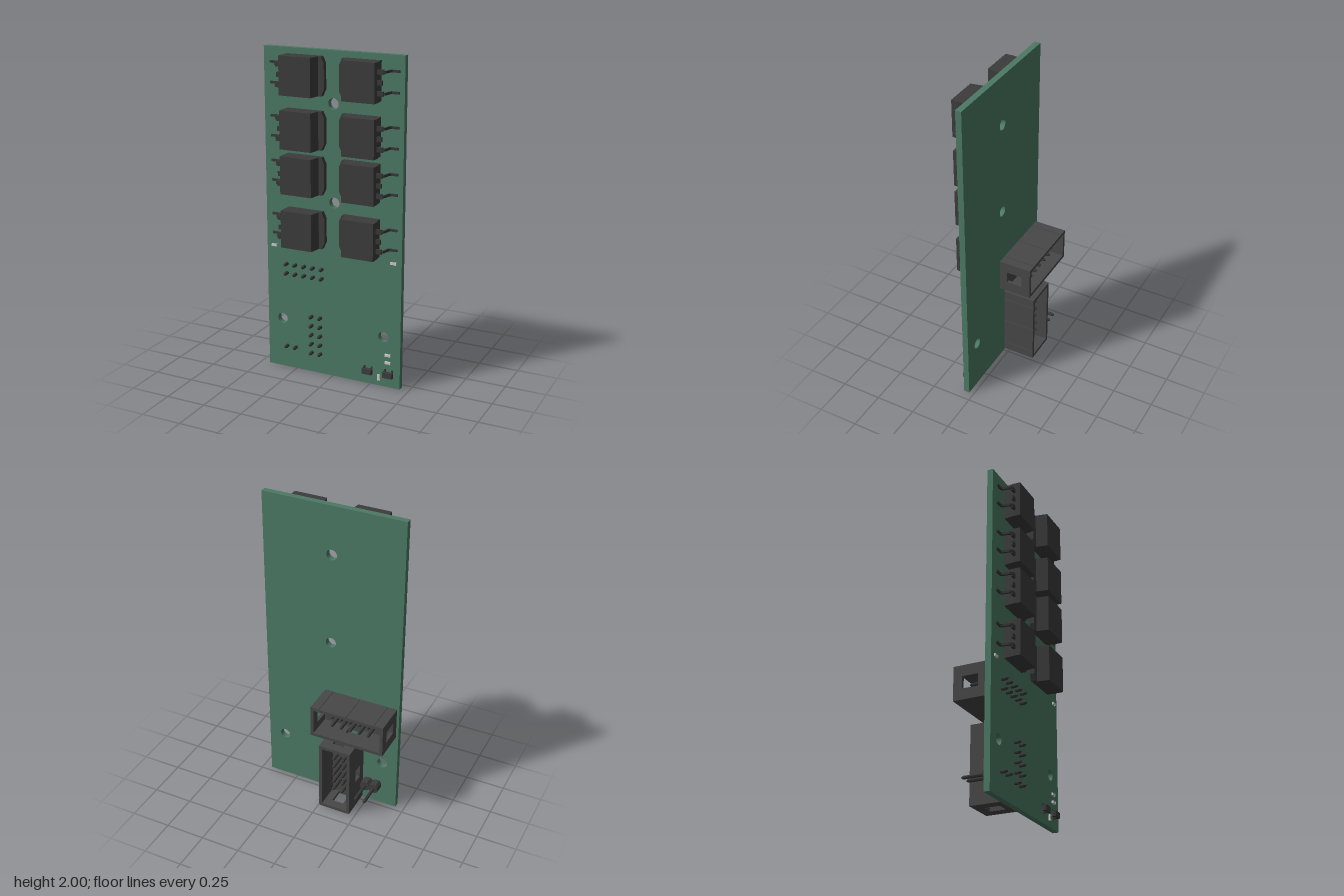
import * as THREE from 'three';

const mat = (color) => new THREE.MeshStandardMaterial({ color, flatShading: true });
const GREEN = mat(0x4c7a65), BLACK = mat(0x3c3c3c), PLASTIC = mat(0x484848), METAL = mat(0x383838);
const GREY = mat(0xcccccc);

function add(parent, name, geometry, material) {
  const m = new THREE.Mesh(geometry, material);
  m.name = name;
  parent.add(m);
  return m;
}

// Box given by its limits on each axis
function box(parent, name, material, [x0, x1], [y0, y1], [z0, z1]) {
  const g = new THREE.BoxGeometry(x1 - x0, y1 - y0, z1 - z0);
  g.translate((x0 + x1) / 2, (y0 + y1) / 2, (z0 + z1) / 2);
  return add(parent, name, g, material);
}

const shapeOf = (pts) => new THREE.Shape(pts.map(([x, y]) => new THREE.Vector2(x, y)));
const rect = (x0, x1, y0, y1) => [[x0, y0], [x1, y0], [x1, y1], [x0, y1]];

// Profile in (x, z) swept along y, centred on y = 0
function sweepY(shape, width) {
  const g = new THREE.ExtrudeGeometry(shape, { depth: width, bevelEnabled: false });
  return g.translate(0, 0, -width / 2).rotateX(Math.PI / 2);
}

function board(parent) {
  const shape = shapeOf(rect(-0.444, 0.443, 0, 2));
  for (const [x, y] of [[0.005, 1.695], [0.01, 1.107], [-0.345, 0.32], [0.333, 0.32]]) {
    shape.holes.push(new THREE.Path().absarc(x, y, 0.033, 0, Math.PI * 2, true));
  }
  const g = new THREE.ExtrudeGeometry(shape, { depth: 0.037, bevelEnabled: false, curveSegments: 20 });
  add(parent, 'circuitBoard', g.translate(0, 0, 0.03), GREEN);
}

// Power package: tab towards the middle, leads towards +x
function powerPackage() {
  const g = new THREE.Group();
  g.name = 'powerPackage';
  const profile = [[0.09, 0.069], [0.0845, 0.1], [0.097, 0.173], [0.299, 0.173], [0.3015, 0.13], [0.295, 0.069]];
  add(g, 'packageBody', sweepY(shapeOf(profile), 0.228), BLACK);

  const tab = shapeOf([[0.12, -0.114], [0.12, 0.114], [0.066, 0.114], [0.0475, 0.075], [0.0475, -0.075], [0.066, -0.114]]);
  const tabGeo = new THREE.ExtrudeGeometry(tab, { depth: 0.031, bevelEnabled: false });
  add(g, 'heatTab', tabGeo.translate(0, 0, 0.068), BLACK);

  // Gull-wing lead: upper edge out, lower edge back
  const lead = shapeOf([
    [0.29, 0.141], [0.334, 0.141], [0.346, 0.136], [0.352, 0.126], [0.358, 0.088], [0.364, 0.08], [0.407, 0.08],
    [0.407, 0.07], [0.36, 0.07], [0.35, 0.076], [0.346, 0.088], [0.341, 0.122], [0.334, 0.131], [0.29, 0.131],
  ]);
  for (const y of [-0.06, 0.06]) {
    add(g, 'lead', sweepY(lead, 0.014).translate(0, y, 0), METAL);
    box(g, 'leadShoulder', METAL, [0.29, 0.338], [y - 0.014, y + 0.014], [0.13, 0.142]);
  }
  box(g, 'cutLead', METAL, [0.29, 0.331], [-0.014, 0.014], [0.13, 0.142]);
  return g;
}

// Through-board pin with tapered ends
function pin(parent, x, y, back) {
  const r = 0.011, front = 0.106;
  const pts = [[0, back], [r * 0.5, back], [r, back + 0.012], [r, front - 0.012], [r * 0.5, front], [0, front]];
  const g = new THREE.LatheGeometry(pts.map(([a, b]) => new THREE.Vector2(a, b)), 8);
  add(parent, 'pin', g.rotateX(Math.PI / 2).translate(x, y, 0), METAL);
}

// Shrouded ten-pin socket, long side on x, open towards -z, key window on -y
function boxHeader() {
  const g = new THREE.Group();
  g.name = 'boxHeader';
  const L = 0.237, W = 0.1035, t = 0.02, z0 = -0.175, z1 = 0.03;
  box(g, 'socketFloor', PLASTIC, [-L + 0.01, L - 0.01], [-W + 0.01, W - 0.01], [-0.02, z1]);

  const wall = (half, hole) => {
    const s = shapeOf(rect(-half, half, z0, z1));
    if (hole) s.holes.push(new THREE.Path(hole.map(([x, y]) => new THREE.Vector2(x, y))));
    return sweepY(s, t);
  };
  add(g, 'keyedWall', wall(L, rect(-0.045, 0.045, -0.085, -0.021)).translate(0, -W + t / 2, 0), PLASTIC);
  for (const side of [-1, 1]) {
    const end = wall(W - t, rect(-0.037, 0.037, -0.12, -0.02));
    add(g, 'endWall', end.rotateZ(Math.PI / 2).translate(side * (L - t / 2), 0, 0), PLASTIC);
  }
  // Far wall, with panels that leave three shallow grooves
  box(g, 'groovedWall', PLASTIC, [-L, L], [W - t, W - 0.004], [z0, z1]);
  const cuts = [-L - 0.003, -0.18, 0, 0.18, L + 0.003];
  for (let i = 0; i < 4; i++) {
    box(g, 'wallPanel', PLASTIC, [cuts[i] + 0.003, cuts[i + 1] - 0.003], [W - 0.004, W], [z0, z1]);
  }
  for (let i = -2; i <= 2; i++) for (const y of [-0.0295, 0.0295]) pin(g, i * 0.0595, y, -0.13);
  return g;
}

function pinHeader(parent) {
  const g = new THREE.Group();
  g.name = 'pinHeader';
  for (const x of [-0.313, -0.254]) {
    const s = shapeOf([[-0.029, -0.015], [-0.015, -0.029], [0.015, -0.029], [0.029, -0.015],
      [0.029, 0.015], [0.015, 0.029], [-0.015, 0.029], [-0.029, 0.015]]);
    const base = new THREE.ExtrudeGeometry(s, { depth: 0.06, bevelEnabled: false });
    add(g, 'headerBase', base.translate(x, 0.143, -0.03), BLACK);
    pin(g, x, 0.143, -0.172);
  }
  parent.add(g);
}

// Small three-legged transistor
function transistor(x, y) {
  const g = new THREE.Group();
  g.name = 'smallTransistor';
  const body = shapeOf([[-0.03, 0.072], [-0.034, 0.084], [-0.03, 0.097], [0.03, 0.097], [0.034, 0.084], [0.03, 0.072]]);
  add(g, 'transistorBody', sweepY(body, 0.034), BLACK);
  for (const [lx, s] of [[-0.024, 1], [0.024, 1], [0, -1]]) {
    const span = (a, b) => (s > 0 ? [a, b] : [-b, -a]);
    box(g, 'leg', METAL, [lx - 0.005, lx + 0.005], span(0.015, 0.022), [0.067, 0.087]);
    box(g, 'foot', METAL, [lx - 0.005, lx + 0.005], span(0.02, 0.029), [0.067, 0.073]);
  }
  g.position.set(x, y, 0);
  return g;
}

// Tiny chip component with end caps
function chip(x, y, upright) {
  const g = new THREE.Group();
  g.name = 'chipComponent';
  box(g, 'chipBody', GREY, [-0.011, 0.011], [-0.007, 0.007], [0.067, 0.078]);
  for (const s of [-1, 1]) box(g, 'chipCap', GREY, [s * 0.014 - 0.004, s * 0.014 + 0.004], [-0.008, 0.008], [0.067, 0.079]);
  g.position.set(x, y, 0);
  if (upright) g.rotation.z = Math.PI / 2;
  return g;
}

export function createModel() {
  const model = new THREE.Group();
  model.name = 'driverBoard';
  board(model);

  // Four rows of paired packages
  for (const y of [1.851, 1.535, 1.265, 0.935]) {
    for (const turn of [0, Math.PI]) {
      const p = powerPackage();
      p.position.set(0.0075, y, 0);
      p.rotation.z = turn;
      model.add(p);
    }
  }

  // Sockets on the back, one flat and one upright
  const flat = boxHeader();
  flat.position.set(-0.191, 0.654, 0);
  const upright = boxHeader();
  upright.position.set(-0.113, 0.248, 0);
  upright.rotation.z = -Math.PI / 2;
  model.add(flat, upright);
  pinHeader(model);

  model.add(transistor(0.237, 0.086), transistor(0.371, 0.086));
  for (const [x, y, up] of [[-0.393, 0.792], [0.393, 0.792], [0.365, 0.208], [0.365, 0.16], [0.308, 0.054, true]]) {
    model.add(chip(x, y, up));
  }
  return model;
}
